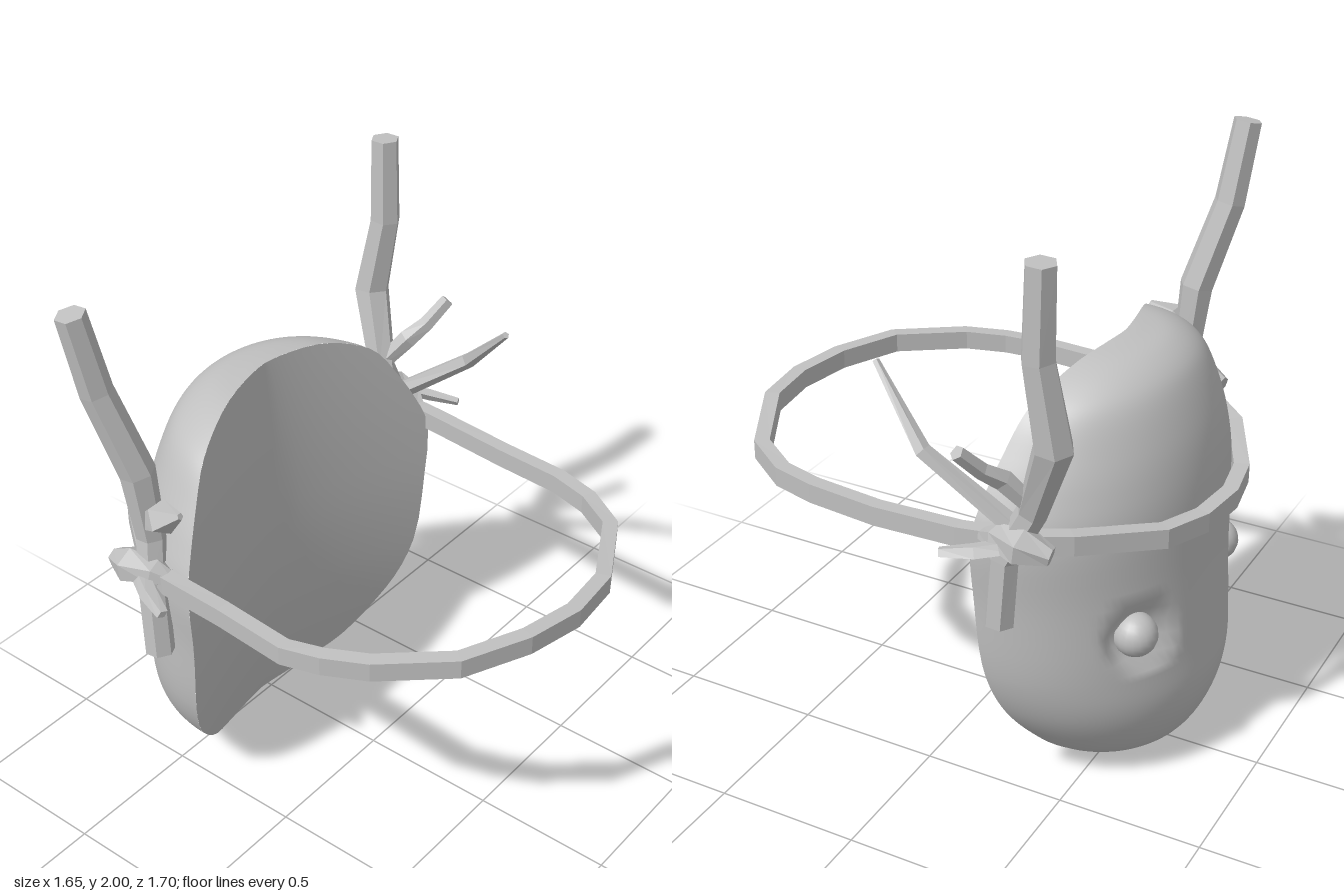
import * as THREE from 'three';
import { ParametricGeometry } from 'three/addons/geometries/ParametricGeometry.js';

const grey = new THREE.MeshStandardMaterial({ color: 0xc0c0c0 });
grey.name = 'plain grey';

const V = (p) => new THREE.Vector3(...p);
const CX = -0.03; // the mask sits slightly off centre

function add(group, name, geometry) {
  const mesh = new THREE.Mesh(geometry, grey);
  mesh.name = name;
  group.add(mesh);
  return mesh;
}

function faceted(geometry) {
  const g = geometry.toNonIndexed();
  g.computeVertexNormals();
  return g;
}

// Faceted stick through points [x, y, z, radius]
function branch(points, sides = 6, flat = 1) {
  const n = points.length - 1;
  const g = new THREE.CylinderGeometry(1, 1, 1, sides, n);
  const pos = g.attributes.position;
  const at = (i) => V(points[Math.min(n, Math.max(0, i))].slice(0, 3));
  const up = new THREE.Vector3(0, 1, 0);
  for (let i = 0; i < pos.count; i++) {
    const k = Math.round((pos.getY(i) + 0.5) * n);
    const tangent = at(k + 1).sub(at(k - 1)).normalize();
    const q = new THREE.Quaternion().setFromUnitVectors(up, tangent);
    const r = points[k][3];
    const v = new THREE.Vector3(pos.getX(i) * r, 0, pos.getZ(i) * r * flat);
    v.applyQuaternion(q).add(at(k));
    pos.setXYZ(i, v.x, v.y, v.z);
  }
  return faceted(g);
}

// Mask rows: height, half width, depth of the outer face on the centre line
const rows = new THREE.CatmullRomCurve3([
  [0, 0, -0.52], [0.006, 0.1, -0.57], [0.03, 0.23, -0.65], [0.08, 0.36, -0.73],
  [0.2, 0.48, -0.79], [0.32, 0.56, -0.81], [0.47, 0.61, -0.8], [0.75, 0.63, -0.785],
  [1.0, 0.64, -0.775], [1.13, 0.59, -0.76], [1.24, 0.53, -0.735], [1.36, 0.45, -0.69],
  [1.42, 0.36, -0.65], [1.465, 0.24, -0.58], [1.482, 0.1, -0.49], [1.485, 0, -0.44],
].map(V));
const eyes = [-0.34, 0.34].map((x) => new THREE.Vector2(CX + x, 0.6));

// Inner surface: bowed across, slightly bulging from top to bottom
function innerZ(x, y) {
  const d = (y - 0.85) / 0.85;
  const centre = -0.41 - (d < 0 ? 0.11 : 0.055) * d * d;
  return centre + 0.18 * Math.pow(Math.abs(x) / 0.64, 1.4);
}

function maskOuter(u, v, target) {
  const row = rows.getPoint(v);
  const a = (0.5 - u) * Math.PI;
  const x = row.y * Math.sin(a);
  const rim = innerZ(row.y, row.x);
  let z = rim + (row.z - rim) * Math.cos(a);
  // Hollow sockets
  for (const eye of eyes) {
    const d = Math.hypot(x + CX - eye.x, row.x - eye.y);
    const t = THREE.MathUtils.clamp((0.13 - d) / 0.06, 0, 1);
    z += 0.055 * t;
  }
  target.set(x + CX, row.x, z);
}

function maskInner(u, v, target) {
  const row = rows.getPoint(v);
  const x = row.y * (u * 2 - 1);
  target.set(x + CX, row.x, innerZ(x, row.x));
}

// Head band loop: rectangular section swept round the points
const bandPoints = [
  [-0.03, 0.98, -0.83], [-0.2, 0.98, -0.80], [-0.46, 1.0, -0.67], [-0.62, 1.03, -0.47],
  [-0.69, 1.03, -0.3], [-0.68, 1.01, -0.07], [-0.7, 1.01, 0.2], [-0.67, 1.02, 0.33],
  [-0.61, 1.03, 0.47], [-0.44, 1.04, 0.68], [-0.22, 1.04, 0.78], [-0.02, 1.035, 0.82],
  [0.18, 1.03, 0.8], [0.46, 1.01, 0.65], [0.56, 1.0, 0.5], [0.6, 1.0, 0.35],
  [0.62, 0.995, 0.1], [0.63, 1.01, -0.2], [0.62, 1.03, -0.4], [0.53, 1.02, -0.54],
  [0.31, 0.99, -0.75], [0.15, 0.98, -0.81],
].map(V);

function band(u, v, target) {
  const n = bandPoints.length;
  const k = Math.round(v * n) % n;
  const c = Math.round(u * 4) % 4;
  const t = bandPoints[(k + 1) % n].clone().sub(bandPoints[(k + n - 1) % n]).setY(0).normalize();
  const out = c < 2 ? 0.026 : -0.026;
  const lift = c === 0 || c === 3 ? 0.034 : -0.034;
  target.copy(bandPoints[k]);
  target.x -= t.z * out;
  target.z += t.x * out;
  target.y += lift;
}

export function createModel() {
  const model = new THREE.Group();
  model.name = 'hornedMask';

  // Mask shell
  const outer = new ParametricGeometry(maskOuter, 72, 80);
  outer.computeVertexNormals();
  add(model, 'maskFace', outer);
  const inner = new ParametricGeometry(maskInner, 24, 40);
  inner.computeVertexNormals();
  add(model, 'maskInside', inner);

  // Eyes
  for (const eye of eyes) {
    const ball = add(model, 'eye', new THREE.SphereGeometry(0.075, 20, 14));
    ball.position.set(eye.x, eye.y, -0.665);
  }

  add(model, 'headBand', faceted(new ParametricGeometry(band, 4, bandPoints.length)));

  // Left antler with its twigs
  add(model, 'leftAntler', branch([
    [0.635, 0.73, -0.345, 0.05], [0.63, 0.97, -0.36, 0.05], [0.62, 1.15, -0.45, 0.05],
    [0.685, 1.42, -0.55, 0.065], [0.71, 1.7, -0.51, 0.055], [0.72, 2.0, -0.52, 0.05],
  ]));
  add(model, 'leftLongTwig', branch([
    [0.61, 1.06, -0.4, 0.035], [0.67, 1.29, -0.1, 0.028], [0.585, 1.51, 0.11, 0.012],
  ], 5));
  add(model, 'leftShortTwig', branch([
    [0.62, 1.16, -0.46, 0.03], [0.68, 1.27, -0.38, 0.035], [0.74, 1.32, -0.34, 0.028],
    [0.81, 1.4, -0.3, 0.025],
  ], 5));

  // Right antler with its stub
  add(model, 'rightAntler', branch([
    [-0.705, 0.73, -0.345, 0.05], [-0.68, 1.0, -0.38, 0.05], [-0.65, 1.15, -0.4, 0.05],
    [-0.665, 1.4, -0.42, 0.06], [-0.73, 1.7, -0.5, 0.055], [-0.775, 1.98, -0.53, 0.05],
  ]));
  add(model, 'rightStub', branch([
    [-0.65, 1.2, -0.42, 0.035], [-0.66, 1.26, -0.33, 0.06], [-0.66, 1.3, -0.25, 0.012],
  ], 5));

  // Knots and loose ends of the band
  for (const [side, x] of [['left', 0.65], ['right', -0.69]]) {
    const s = Math.sign(x);
    add(model, side + 'Knot', branch([
      [x, 1.03, -0.53, 0.035], [x + s * 0.015, 1.05, -0.44, 0.075],
      [x, 1.05, -0.35, 0.055], [x - s * 0.02, 1.03, -0.29, 0.03],
    ], 6, 0.8));
    add(model, side + 'BandEnd', branch([
      [x + s * 0.02, 1.05, -0.42, 0.03], [x + s * 0.08, 1.03, -0.31, 0.03],
      [x + s * 0.12, 1.02, -0.21, 0.02],
    ], 4, 0.7));
  }
  return model;
}
